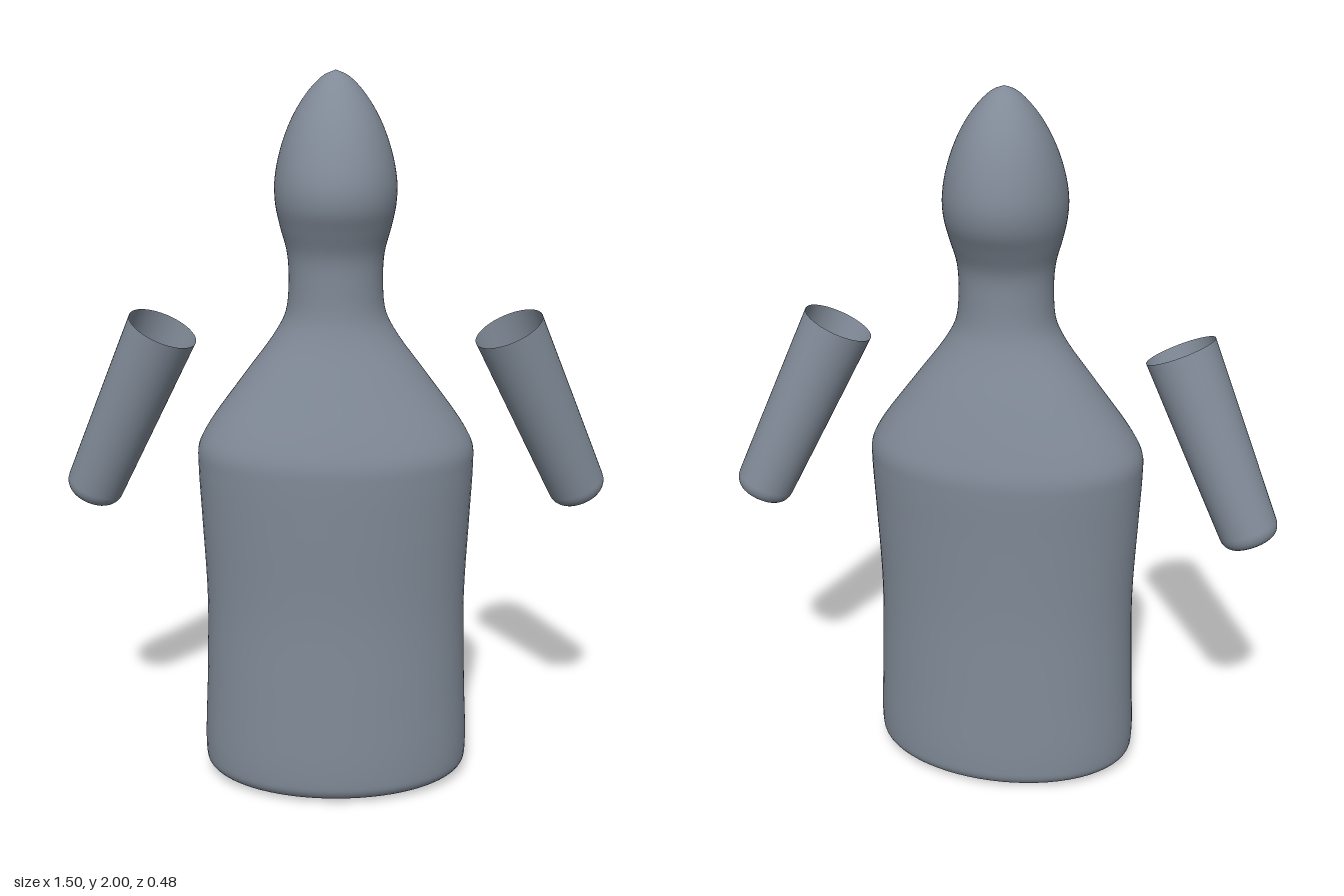
import * as THREE from 'three';
import { mergeVertices } from 'three/addons/utils/BufferGeometryUtils.js';

const slate = new THREE.MeshStandardMaterial({ color: 0x808a97, side: THREE.DoubleSide });
slate.name = 'slate grey';

// Weld the lathe seam so the shading stays smooth all round
function weld(geometry) {
  geometry.deleteAttribute('uv');
  geometry.deleteAttribute('normal');
  const welded = mergeVertices(geometry, 1e-5);
  welded.computeVertexNormals();
  return welded;
}

// Body sections: [height, half width, front z, back z]
const SECTIONS = [
  [0.005, 0, 0, 0], [0.006, 0.14, 0.09, -0.09], [0.008, 0.27, 0.17, -0.17],
  [0.017, 0.335, 0.212, -0.212], [0.04, 0.367, 0.232, -0.232], [0.08, 0.375, 0.237, -0.236],
  [0.3, 0.368, 0.234, -0.231], [0.55, 0.362, 0.229, -0.226], [0.8, 0.372, 0.236, -0.231],
  [0.94, 0.378, 0.239, -0.236], [0.995, 0.376, 0.237, -0.235], [1.05, 0.35, 0.222, -0.222],
  [1.19, 0.25, 0.172, -0.178], [1.31, 0.163, 0.13, -0.135], [1.37, 0.134, 0.117, -0.119],
  [1.45, 0.126, 0.114, -0.114], [1.53, 0.13, 0.119, -0.119], [1.6, 0.148, 0.146, -0.15],
  [1.66, 0.16, 0.17, -0.18], [1.72, 0.161, 0.171, -0.19], [1.8, 0.145, 0.145, -0.177],
  [1.88, 0.114, 0.102, -0.146], [1.945, 0.073, 0.052, -0.102], [1.985, 0.033, 0.009, -0.06],
  [2.0, 0, -0.027, -0.027],
];

function bodyGeometry() {
  // Smooth curves through the sections: outline and depth
  const n = 110;
  const outline = new THREE.CatmullRomCurve3(SECTIONS.map(([y, w]) => new THREE.Vector3(w, y, 0)), false, 'centripetal');
  const depth = new THREE.CatmullRomCurve3(SECTIONS.map(([y, , f, b]) => new THREE.Vector3((f - b) / 2, y, (f + b) / 2)), false, 'centripetal');
  const rows = [];
  for (let i = 0; i <= n; i++) {
    const p = outline.getPoint(i / n), d = depth.getPoint(i / n);
    rows.push({ w: Math.max(p.x, 0), y: p.y, d: Math.max(d.x, 0), z: d.z });
  }
  // Turn a unit tube, then squeeze each ring to its oval section
  const geometry = new THREE.LatheGeometry(rows.map((r) => new THREE.Vector2(1, r.y)), 64);
  const pos = geometry.attributes.position;
  for (let i = 0; i < pos.count; i++) {
    const r = rows[i % rows.length];
    pos.setXYZ(i, pos.getX(i) * r.w, r.y, r.z + pos.getZ(i) * r.d);
  }
  return weld(geometry);
}

// Tapered sleeve: rounded closed hand end, open shoulder end
function armGeometry(length) {
  const points = [[0, 0], [0.03, 0.001], [0.046, 0.004]].map(([x, y]) => new THREE.Vector2(x, y));
  for (let i = 1; i <= 6; i++) {
    const a = (i / 6) * Math.PI / 2;
    points.push(new THREE.Vector2(0.046 + 0.034 * Math.sin(a), 0.044 - 0.04 * Math.cos(a)));
  }
  points.push(new THREE.Vector2(0.088, length / 2), new THREE.Vector2(0.097, length));
  return weld(new THREE.LatheGeometry(points, 40));
}

export function createModel() {
  const model = new THREE.Group();
  model.name = 'figure';

  const body = new THREE.Mesh(bodyGeometry(), slate);
  body.name = 'body';
  model.add(body);

  // Arms hang outward and slightly back
  for (const side of [1, -1]) {
    const shoulder = new THREE.Vector3(side * 0.466, 1.32, 0);
    const hand = new THREE.Vector3(side * 0.693, 0.815, -0.083);
    const axis = shoulder.clone().sub(hand);
    const arm = new THREE.Mesh(armGeometry(axis.length()), slate);
    arm.name = side > 0 ? 'leftArm' : 'rightArm';
    arm.position.copy(hand);
    arm.quaternion.setFromUnitVectors(new THREE.Vector3(0, 1, 0), axis.normalize());
    model.add(arm);
  }
  return model;
}
